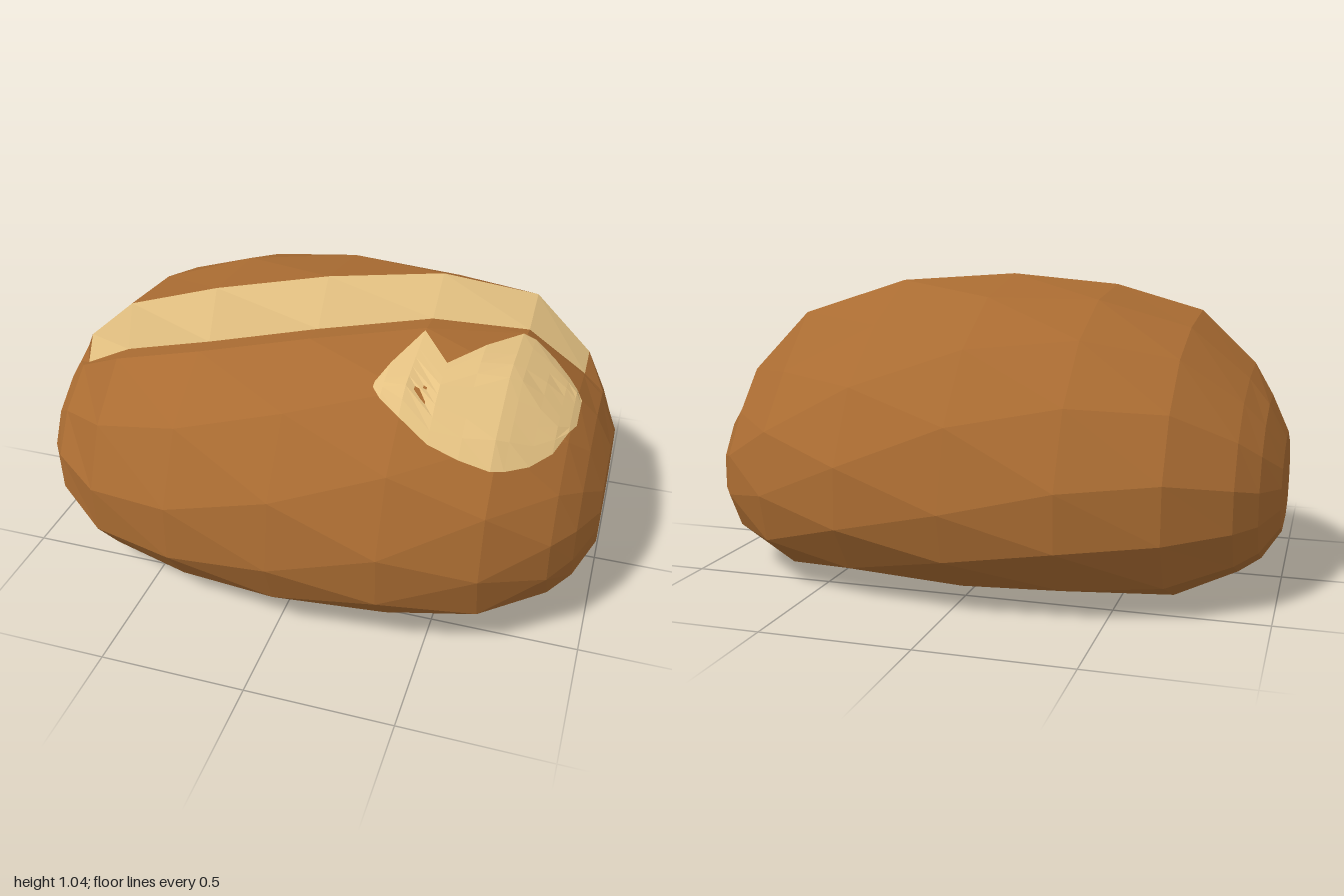
import * as THREE from 'three';

const SEGMENTS = 14;
const CENTRE_Y = 0.36;

// Loaf sections: x, half width, bottom, top, lip z/y, groove z, ridge z/y
const SECTIONS = [
  [-1.0, 0.26, 0.2, 0.51, 0.15, 0.47, 0.1, 0.06, 0.51],
  [-0.94, 0.41, 0.12, 0.63, 0.24, 0.57, 0.17, 0.1, 0.63],
  [-0.87, 0.51, 0.08, 0.71, 0.27, 0.65, 0.23, 0.18, 0.73],
  [-0.67, 0.66, 0, 0.88, 0.38, 0.77, 0.29, 0.23, 0.91],
  [-0.36, 0.755, 0, 0.98, 0.38, 0.85, 0.29, 0.2, 1.0],
  [0, 0.78, 0, 1.02, 0.29, 0.91, 0.2, 0.08, 1.04],
  [0.36, 0.755, 0, 0.99, 0.14, 0.93, 0.05, -0.1, 1.02],
  [0.67, 0.66, 0, 0.89, -0.05, 0.86, -0.1, -0.26, 0.91],
  [0.87, 0.51, 0.08, 0.72, -0.14, 0.68, -0.17, -0.28, 0.7],
  [0.94, 0.41, 0.12, 0.63, -0.14, 0.61, -0.18, -0.22, 0.59],
  [1.0, 0.26, 0.2, 0.51, -0.08, 0.5, -0.12, -0.16, 0.46],
];

// One closed ring: lip, down the front, under, up the back to the ridge, groove
function makeRing([x, w, bottom, top, lipZ, lipY, grooveZ, ridgeZ, ridgeY]) {
  const up = top - CENTRE_Y;
  const down = CENTRE_Y - bottom + 0.012;
  const angle = (z, y) => Math.atan2((y - CENTRE_Y) / up, z / w);
  const start = angle(lipZ, lipY);
  const end = angle(ridgeZ, ridgeY) - Math.PI * 2;
  const ring = [new THREE.Vector3(x, lipY, lipZ)];
  for (let k = 1; k < SEGMENTS; k++) {
    const a = start + (end - start) * k / SEGMENTS;
    const c = Math.cos(a), s = Math.sin(a);
    const n = s > 0 ? 1.85 : 2.7;
    const r = (Math.abs(c) ** n + Math.abs(s) ** n) ** (-1 / n);
    const y = CENTRE_Y + r * s * (s > 0 ? up : down);
    ring.push(new THREE.Vector3(x, Math.max(bottom, y), r * c * w));
  }
  ring.push(new THREE.Vector3(x, ridgeY, ridgeZ));
  const opened = Math.abs(x) < 0.9;
  ring.push(new THREE.Vector3(x, opened ? lipY - 0.01 : (lipY + ridgeY) / 2, grooveZ));
  return ring;
}

function makeMesh(name, points, material) {
  const geometry = new THREE.BufferGeometry().setFromPoints(points);
  geometry.computeVertexNormals();
  const mesh = new THREE.Mesh(geometry, material);
  mesh.name = name;
  return mesh;
}

export function createModel() {
  const crustMaterial = new THREE.MeshStandardMaterial({ name: 'baked crust', color: 0xaa6c32, flatShading: true });
  const crumbMaterial = new THREE.MeshStandardMaterial({ name: 'pale crumb', color: 0xe6c383, flatShading: true, side: THREE.DoubleSide });
  const group = new THREE.Group();
  group.name = 'breadLoaf';

  // Skin between rings; the wall of the long score is pale
  const rings = SECTIONS.map(makeRing);
  const count = SEGMENTS + 2;
  const crust = [], score = [];
  for (let i = 0; i < rings.length - 1; i++) {
    for (let k = 0; k < count; k++) {
      const next = (k + 1) % count;
      const a = rings[i][k], b = rings[i][next];
      const c = rings[i + 1][next], d = rings[i + 1][k];
      const target = k === SEGMENTS && i >= 2 && i <= 7 ? score : crust;
      target.push(a, b, c, a, c, d);
    }
  }

  // Flat ends
  for (const side of [-1, 1]) {
    const ring = side < 0 ? rings[0] : rings[rings.length - 1];
    const centre = new THREE.Vector3(side, CENTRE_Y, 0);
    for (let k = 0; k < count; k++) {
      const a = ring[k], b = ring[(k + 1) % count];
      crust.push(centre, ...(side > 0 ? [a, b] : [b, a]));
    }
  }
  const crustMesh = makeMesh('crust', crust, crustMaterial);
  // Both faces are needed while the patch is fitted on the skin
  group.add(crustMesh, makeMesh('scoreWall', score, crumbMaterial));

  // Pale torn patch laid over the crust: x, back z, front z
  const columns = [
    [0.26, 0.42, 0.44], [0.29, 0.33, 0.47], [0.36, 0.16, 0.5], [0.46, 0.27, 0.53],
    [0.56, 0.12, 0.53], [0.66, -0.03, 0.515], [0.7, -0.05, 0.49], [0.77, -0.04, 0.43],
    [0.83, 0.0, 0.34], [0.865, 0.04, 0.24], [0.885, 0.07, 0.18],
  ];
  const rows = 8;
  const ray = new THREE.Raycaster();
  const down = new THREE.Vector3(0, -1, 0);
  const grid = columns.map(([x, back, front]) => Array.from({ length: rows + 1 }, (_, r) => {
    const z = back + (front - back) * r / rows;
    ray.set(new THREE.Vector3(x, 2, z), down);
    const hit = ray.intersectObject(crustMesh)[0];
    return new THREE.Vector3(x, (hit ? hit.point.y : 0.7) + 0.009, z + 0.004);
  }));
  const patch = [];
  for (let i = 0; i < grid.length - 1; i++) {
    for (let r = 0; r < rows; r++) {
      const a = grid[i][r], b = grid[i][r + 1], c = grid[i + 1][r + 1], d = grid[i + 1][r];
      patch.push(a, b, c, a, c, d);
    }
  }
  group.add(makeMesh('tornPatch', patch, crumbMaterial));
  return group;
}
